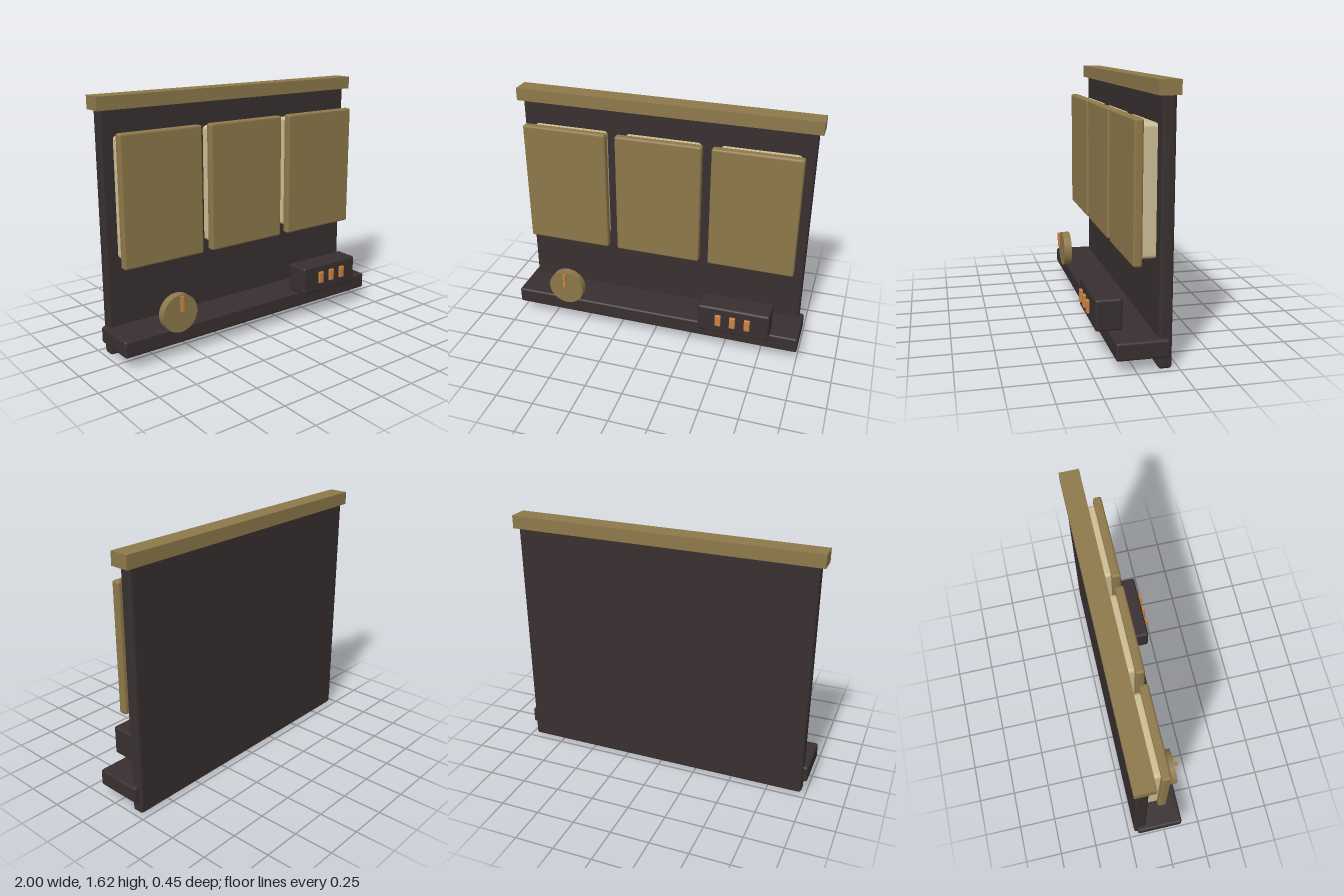
import * as THREE from 'three';
import { RoundedBoxGeometry } from 'three/addons/geometries/RoundedBoxGeometry.js';

const material = (name, color) => {
  const m = new THREE.MeshStandardMaterial({ color });
  m.name = name;
  return m;
};

export function createModel() {
  const dark = material('dark brown', 0x382f30);
  const brass = material('brass', 0x8d784a);
  const cream = material('cream', 0xccbc92);
  const orange = material('orange', 0xcc8240);

  const model = new THREE.Group();
  model.name = 'wallConsole';

  // Box from its [min, max] extents; radius 0 gives sharp edges
  const box = (parent, name, mat, [x0, x1], [y0, y1], [z0, z1], radius = 0) => {
    const size = [x1 - x0, y1 - y0, z1 - z0];
    const geometry = radius
      ? new RoundedBoxGeometry(...size, 3, radius)
      : new THREE.BoxGeometry(...size);
    const mesh = new THREE.Mesh(geometry, mat);
    mesh.name = name;
    mesh.position.set((x0 + x1) / 2, (y0 + y1) / 2, (z0 + z1) / 2);
    parent.add(mesh);
    return mesh;
  };

  // Main board, top rail and front shelf
  box(model, 'backBoard', dark, [-0.97, 0.97], [0, 1.57], [-0.21, -0.13], 0.018);
  box(model, 'topRail', brass, [-1, 1], [1.54, 1.623], [-0.225, -0.1]);
  box(model, 'shelf', dark, [-1, 1], [0.08, 0.188], [-0.19, 0.122], 0.015);

  // Three cream blocks with brass covers
  for (const x of [-0.635, 0, 0.632]) {
    const panel = new THREE.Group();
    panel.name = 'panel';
    panel.position.x = x;
    box(panel, 'panelBlock', cream, [-0.255, 0.255], [0.625, 1.385], [-0.15, -0.03], 0.025);
    box(panel, 'panelCover', brass, [-0.285, 0.285], [0.59, 1.415], [-0.045, 0.01], 0.014);
    model.add(panel);
  }

  // Round dial with its pointer
  const dial = new THREE.Mesh(new THREE.CylinderGeometry(0.123, 0.123, 0.055, 32), brass);
  dial.name = 'dial';
  dial.rotation.x = Math.PI / 2;
  dial.position.set(-0.623, 0.288, 0.118);
  model.add(dial);
  box(model, 'dialPointer', orange, [-0.632, -0.614], [0.31, 0.41], [0.16, 0.174]);

  // Control box with three switches
  box(model, 'controlBox', dark, [0.34, 0.815], [0.19, 0.382], [0.04, 0.2], 0.016);
  for (const x of [0.481, 0.577, 0.674]) {
    box(model, 'switch', orange, [x - 0.019, x + 0.019], [0.26, 0.34], [0.208, 0.226], 0.004);
  }

  return model;
}
